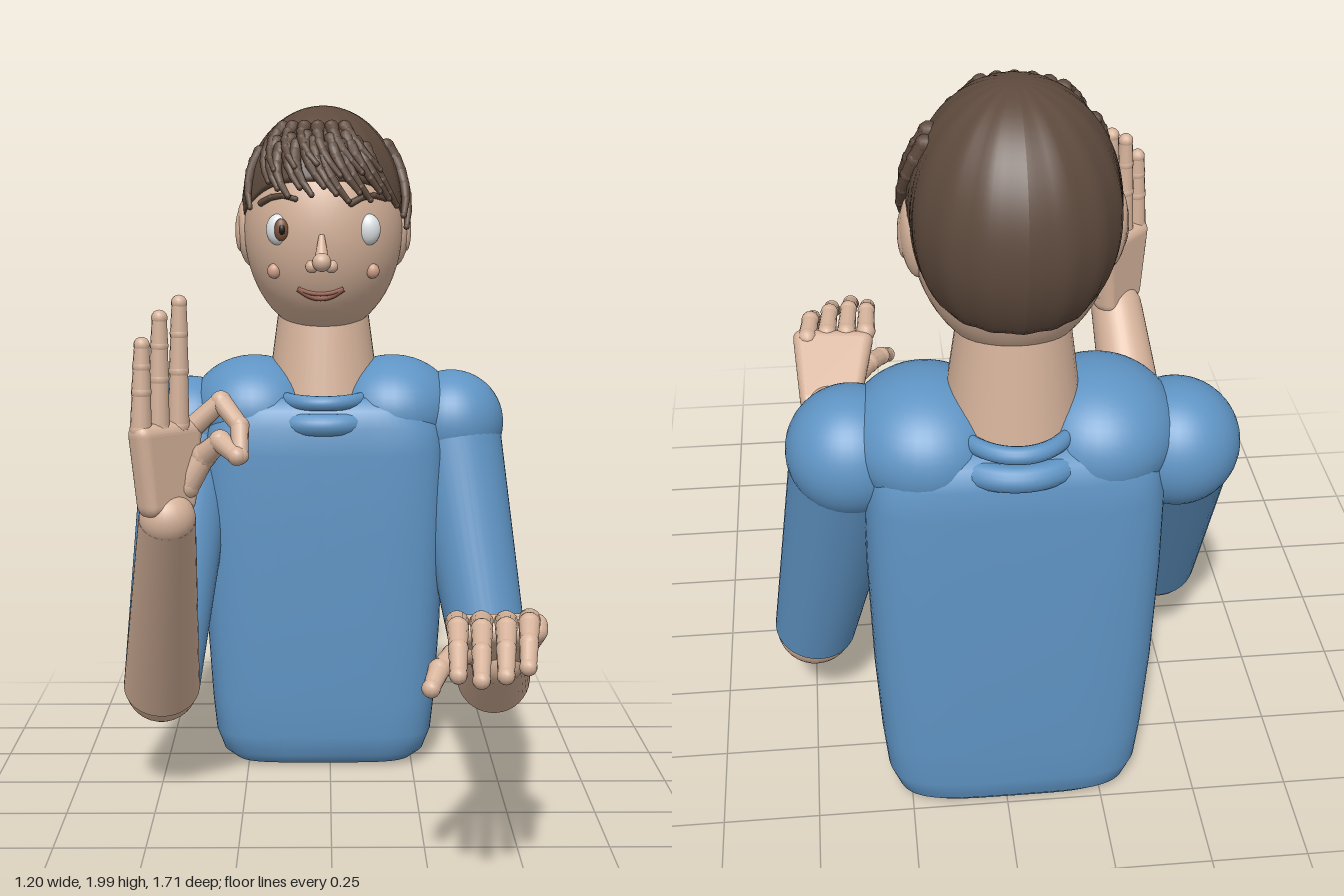
import * as THREE from 'three';
import { RoundedBoxGeometry } from 'three/addons/geometries/RoundedBoxGeometry.js';

const V = (x, y, z) => new THREE.Vector3(x, y, z);
const paint = (color, side = THREE.FrontSide) => new THREE.MeshStandardMaterial({ color, side });
const skin = paint(0xd6b39b), shirt = paint(0x5f94c4), hairMat = paint(0x5e4a3d, THREE.DoubleSide);
const lipMat = paint(0x96604f), eyeWhite = paint(0xdfe3e6), irisMat = paint(0x7a5138), pupilMat = paint(0x1c1715);
const blushMat = paint(0xcf9f88);
const CX = -0.02; // head and trunk centre line

function add(parent, name, geometry, material) {
  const mesh = new THREE.Mesh(geometry, material);
  mesh.name = name;
  parent.add(mesh);
  return mesh;
}

function ball(parent, name, p, r, material, seg = 24) {
  const m = add(parent, name, new THREE.SphereGeometry(1, seg, Math.ceil(seg * 0.7)), material);
  m.position.copy(p);
  if (Array.isArray(r)) m.scale.set(...r); else m.scale.setScalar(r);
  return m;
}

// Tapered cylinder from a to b
function limb(parent, name, a, b, ra, rb, material, seg = 28) {
  const d = b.clone().sub(a);
  const m = add(parent, name, new THREE.CylinderGeometry(rb, ra, d.length(), seg), material);
  m.position.copy(a).addScaledVector(d, 0.5);
  m.quaternion.setFromUnitVectors(V(0, 1, 0), d.normalize());
  return m;
}

// Jointed chain of tapered segments and balls, for fingers and hair locks
function chain(parent, name, pts, r0, r1, material, seg = 12) {
  const g = new THREE.Group();
  g.name = name;
  parent.add(g);
  const n = pts.length - 1, radius = i => r0 + (r1 - r0) * i / n;
  pts.forEach((p, i) => {
    ball(g, name + 'Joint', p, radius(i) * 1.04, material, seg);
    if (i < n) limb(g, name + 'Segment', p, pts[i + 1], radius(i), radius(i + 1) * 0.94, material, seg);
  });
}

// Trunk lofted through rounded-rectangle sections: [y, half width, half depth]
function trunkGeometry() {
  const rows = [[0.01, 0.001, 0.001], [0.01, 0.22, 0.13], [0.02, 0.275, 0.175], [0.05, 0.31, 0.2], [0.11, 0.332, 0.213],
    [0.22, 0.343, 0.219], [0.45, 0.357, 0.226], [0.75, 0.366, 0.23], [0.98, 0.366, 0.23],
    [1.06, 0.35, 0.223], [1.11, 0.31, 0.205], [1.145, 0.24, 0.17], [1.155, 0.001, 0.001]];
  const n = 64, pos = [], idx = [], sq = v => Math.sign(v) * Math.abs(v) ** 0.45;
  rows.forEach(([y, hx, hz], j) => {
    for (let i = 0; i < n; i++) {
      const a = i / n * Math.PI * 2;
      pos.push(CX + hx * sq(Math.sin(a)), y, -0.563 + hz * sq(Math.cos(a)));
      if (j < rows.length - 1) {
        const k = (i + 1) % n, p = j * n + i, q = j * n + k;
        idx.push(p, q, q + n, p, q + n, p + n);
      }
    }
  });
  const g = new THREE.BufferGeometry();
  g.setAttribute('position', new THREE.Float32BufferAttribute(pos, 3));
  g.setIndex(idx);
  g.computeVertexNormals();
  return g;
}

// Point on the hair shell: polar angle from the crown, azimuth from the front towards the left
const hairPoint = (th, az, s = 1) => V(CX + 0.243 * s * Math.sin(th) * Math.sin(az),
  1.69 + 0.308 * s * Math.cos(th), -0.58 + 0.273 * s * Math.sin(th) * Math.cos(az));

// Hair cap: short over the brow, long behind the ears, lower edge turned in
function hairCapGeometry() {
  const g = new THREE.SphereGeometry(1, 72, 32), p = g.attributes.position, uv = g.attributes.uv;
  const smooth = THREE.MathUtils.smoothstep;
  for (let i = 0; i < p.count; i++) {
    const az = uv.getX(i) * Math.PI * 2 + Math.PI, t = 1 - uv.getY(i);
    const back = (1 - Math.cos(az)) / 2;
    const edge = (74 + 20 * smooth(back, 0, 0.45) + 40 * smooth(back, 0.5, 0.66)) * Math.PI / 180;
    const th = edge * Math.min(1, t / 0.95);
    const ridge = 1 + 0.008 * Math.cos(16 * az) * Math.sin(th);
    const v = hairPoint(th, az, (t > 0.96 ? 0.87 : 1) * ridge);
    p.setXYZ(i, v.x, v.y, v.z);
  }
  g.computeVertexNormals();
  return g;
}

// Front of the face at a given x and y
const faceZ = (x, y) => -0.545 + 0.245 * Math.sqrt(Math.max(0, 1 - ((x - CX) / 0.236) ** 2 - ((y - 1.635) / 0.312) ** 2));
const onFace = (x, y, out = 0) => V(x, y, faceZ(x, y) + out);

function buildHead(root) {
  const head = new THREE.Group();
  head.name = 'head';
  root.add(head);
  limb(head, 'neck', V(CX, 1.08, -0.575), V(CX, 1.45, -0.585), 0.178, 0.128, skin, 36);
  ball(head, 'skull', V(CX, 1.635, -0.545), [0.236, 0.312, 0.245], skin, 48);
  for (const s of [-1, 1]) {
    const ear = ball(head, 'ear', V(CX + s * 0.225, 1.625, -0.57), [0.034, 0.1, 0.056], skin);
    ear.rotation.z = -s * 0.08;
    ball(head, 'earHollow', V(CX + s * 0.25, 1.63, -0.562), [0.014, 0.06, 0.03], skin);
    // Eyes, looking slightly to the left
    const ex = CX + s * 0.13;
    ball(head, 'eyeWhite', onFace(ex, 1.64, -0.008), [0.035, 0.045, 0.026], eyeWhite);
    ball(head, 'iris', onFace(ex + 0.009, 1.64, 0.006), [0.021, 0.032, 0.014], irisMat);
    ball(head, 'pupil', onFace(ex + 0.011, 1.64, 0.014), [0.01, 0.016, 0.008], pupilMat, 14);
    ball(head, 'cheek', onFace(CX + s * 0.143, 1.52, 0.003), [0.02, 0.022, 0.016], blushMat, 16);
    ball(head, 'nostril', V(CX - 0.005 + s * 0.028, 1.537, -0.292), 0.019, skin, 16);
    const brow = [-0.05, -0.02, 0.015, 0.05].map((d, i) => onFace(ex + d, 1.715 + [0, 0.016, 0.022, 0.012][i], 0.006));
    chain(head, 'eyebrow', brow, 0.01, 0.008, hairMat, 10);
  }
  // Nose
  limb(head, 'noseBridge', V(CX - 0.005, 1.625, -0.302), V(CX - 0.005, 1.552, -0.275), 0.008, 0.022, skin, 20);
  ball(head, 'noseTip', V(CX - 0.005, 1.55, -0.273), 0.027, skin);
  // Smiling mouth: two lip curves
  for (const [low, r] of [[1.455, 0.006], [1.442, 0.008]]) {
    const pts = [-1, -0.5, 0, 0.5, 1].map(t => onFace(CX - 0.008 + t * 0.066, low + (1.47 - low) * t * t, 0.004));
    add(head, 'lip', new THREE.TubeGeometry(new THREE.CatmullRomCurve3(pts), 24, r, 8), lipMat);
  }

  add(head, 'hairCap', hairCapGeometry(), hairMat);
  // Swept fringe and side locks
  const lock = (th0, th1, az0, az1, r) => {
    const pts = [0, 0.2, 0.4, 0.6, 0.8, 1].map(t =>
      hairPoint((th0 + (th1 - th0) * t) * Math.PI / 180, az0 + (az1 - az0) * t * t, 0.99 + 0.09 * t));
    chain(head, 'hairLock', pts, r, r * 0.4, hairMat, 9);
  };
  for (let i = 0; i < 13; i++) {
    const az = -0.95 + i * 0.135, j = (i * 7) % 5;
    lock(46 + j * 2, 75 + j * 1.5 + i * 0.5, az, az + 0.28, 0.022);
    if (i % 2) lock(38, 66 + j * 1.5, az - 0.1, az + 0.2, 0.021);
  }
  lock(52, 92, 1.5, 1.12, 0.024);
  lock(56, 98, 1.62, 1.25, 0.022);
  lock(56, 88, -1.2, -0.95, 0.02);
}

// Palm: rounded box widening from wrist a to knuckles b
function palm(parent, a, b, across, width, thick) {
  const along = b.clone().sub(a), len = along.length();
  const g = new RoundedBoxGeometry(width, len, thick, 5, thick * 0.42), p = g.attributes.position;
  for (let i = 0; i < p.count; i++) p.setX(i, p.getX(i) * (0.84 + 0.3 * (p.getY(i) / len)));
  const y = along.normalize(), z = across.clone().cross(y).normalize(), x = y.clone().cross(z);
  g.computeVertexNormals();
  const m = add(parent, 'palm', g, skin);
  m.quaternion.setFromRotationMatrix(new THREE.Matrix4().makeBasis(x, y, z));
  m.position.copy(a).add(b).multiplyScalar(0.5);
}

function arm(root, name, shoulder, elbow, wrist) {
  const g = new THREE.Group();
  g.name = name;
  root.add(g);
  ball(g, 'shoulder', shoulder, 0.16, shirt, 36);
  limb(g, 'sleeve', shoulder, elbow, 0.148, 0.11, shirt, 36);
  ball(g, 'elbow', elbow, 0.106, skin, 28);
  limb(g, 'forearm', elbow, wrist, 0.11, 0.074, skin, 36);
  ball(g, 'wrist', wrist, 0.074, skin);
  return g;
}

export function createModel() {
  const root = new THREE.Group();
  root.name = 'upperBodyFigure';

  // Trunk, sloping shoulders and collar rings
  add(root, 'trunk', trunkGeometry(), shirt);
  for (const s of [-1, 1]) ball(root, 'shoulderSlope', V(CX + s * 0.21, 1.09, -0.57), [0.195, 0.165, 0.21], shirt, 36);
  for (const [y, rx, rz, tube] of [[1.145, 0.155, 0.215, 0.022], [1.08, 0.185, 0.215, 0.034]]) {
    const ring = add(root, 'collar', new THREE.TorusGeometry(1, tube / rz, 14, 64), shirt);
    ring.rotation.x = Math.PI / 2 + 0.05;
    ring.scale.set(rx, rz, rz);
    ring.position.set(CX, y, -0.565);
  }
  buildHead(root);

  // Left arm, reaching forward with an open hand
  const left = arm(root, 'leftArm', V(0.37, 1.05, -0.56), V(0.49, 0.31, -0.335), V(0.43, 0.57, 0.34));
  palm(left, V(0.425, 0.575, 0.33), V(0.405, 0.71, 0.56), V(1, 0, 0), 0.255, 0.075);
  [[0.305, 0.29, 0.81], [0.365, 0.34, 0.85], [0.425, 0.4, 0.815], [0.485, 0.46, 0.745]].forEach(([x0, x1, z], i) => {
    const z0 = 0.55 - (i === 3 ? 0.02 : 0), at = (t, y) => V(x0 + (x1 - x0) * t, y, z0 + (z - 0.02 - z0) * t);
    chain(left, 'finger', [at(0, 0.715), at(0.42, 0.73), at(0.74, 0.70), at(1, 0.655)], 0.029, 0.021, skin);
  });
  chain(left, 'thumb', [V(0.36, 0.62, 0.43), V(0.3, 0.62, 0.52), V(0.26, 0.605, 0.58), V(0.238, 0.575, 0.635)], 0.036, 0.023, skin);

  // Right arm, raised with thumb and forefinger touching
  const right = arm(root, 'rightArm', V(-0.425, 1.03, -0.57), V(-0.49, 0.335, -0.17), V(-0.425, 0.92, 0.275));
  palm(right, V(-0.425, 0.93, 0.28), V(-0.425, 1.175, 0.28), V(1, 0, -1).normalize(), 0.225, 0.075);
  for (const [x, z, top] of [[-0.482, 0.335, 1.395], [-0.44, 0.3, 1.46], [-0.393, 0.262, 1.495]]) {
    const at = t => V(x + 0.006 * t, 1.16 + (top - 0.02 - 1.16) * t, z);
    chain(right, 'finger', [at(0), at(0.45), at(0.75), at(1)], 0.028, 0.02, skin);
  }
  chain(right, 'forefinger', [V(-0.36, 1.15, 0.225), V(-0.285, 1.22, 0.235), V(-0.235, 1.165, 0.29), V(-0.232, 1.095, 0.34)], 0.029, 0.022, skin);
  chain(right, 'thumb', [V(-0.38, 1.0, 0.25), V(-0.33, 1.08, 0.255), V(-0.285, 1.125, 0.29), V(-0.24, 1.095, 0.345)], 0.037, 0.024, skin);

  return root;
}
